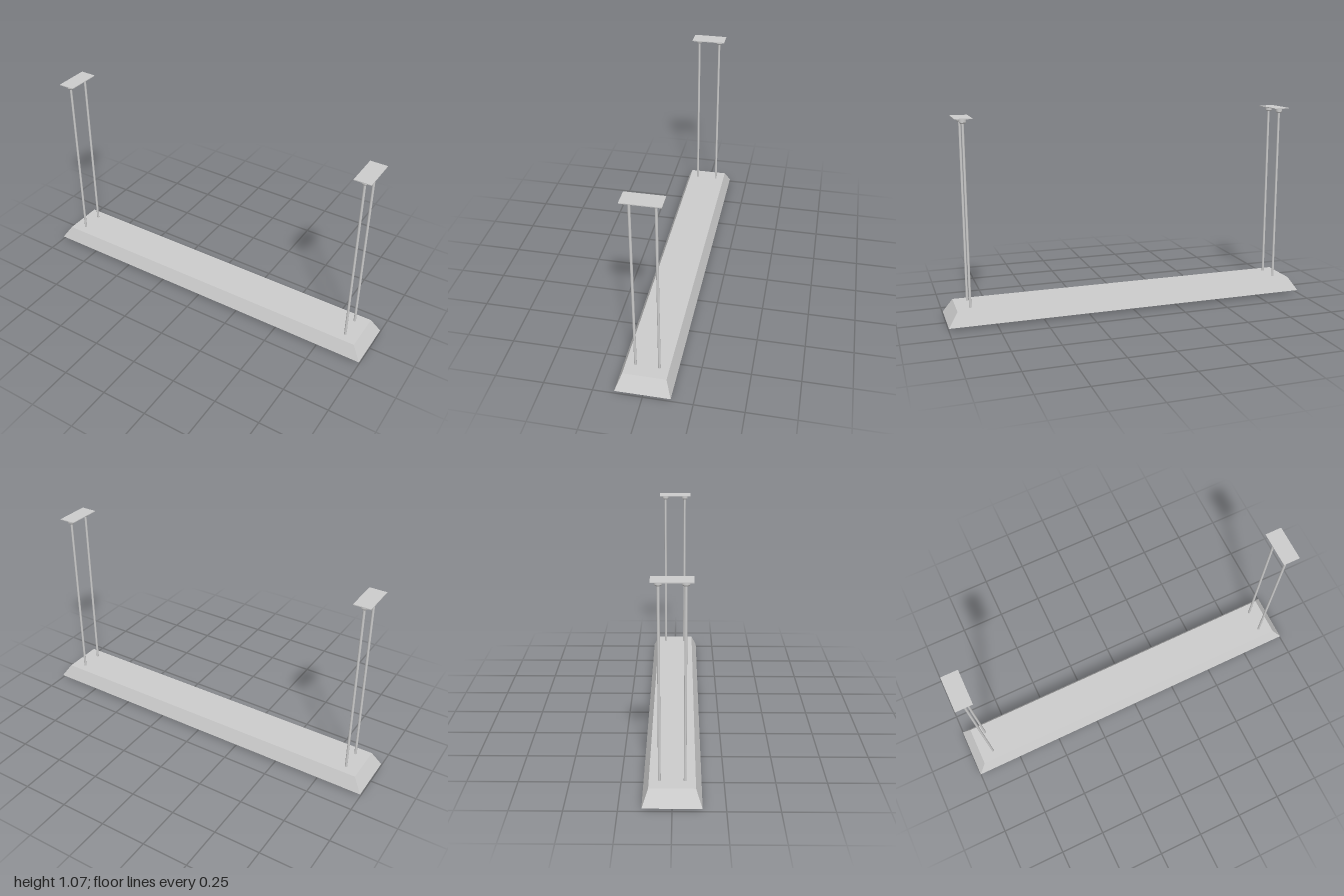
import * as THREE from 'three';

const grey = new THREE.MeshStandardMaterial({ color: 0xcccccc });
const sheet = new THREE.MeshStandardMaterial({ color: 0xcccccc, side: THREE.DoubleSide });

function add(parent, name, geometry, x, y, z, material = grey) {
  const mesh = new THREE.Mesh(geometry, material);
  mesh.name = name;
  mesh.position.set(x, y, z);
  parent.add(mesh);
  return mesh;
}

// Sheet-metal reflector: a box tapered toward the top, with its bottom face removed
function housingGeometry() {
  const box = new THREE.BoxGeometry(2, 0.075, 0.28);
  const p = box.attributes.position;
  for (let i = 0; i < p.count; i++) {
    if (p.getY(i) > 0) {
      p.setX(i, Math.sign(p.getX(i)) * 0.95);
      p.setZ(i, Math.sign(p.getZ(i)) * 0.11);
    }
  }
  const index = Array.from(box.index.array);
  index.splice(18, 6);
  box.setIndex(index);
  box.clearGroups();
  box.computeVertexNormals();
  return box;
}

// Lamp holder: block hanging from the reflector, with a chamfered lower end
function holderGeometry() {
  const shape = new THREE.Shape([
    [-0.017, 0], [0.017, 0], [0.034, 0.03], [0.034, 0.089], [-0.034, 0.089], [-0.034, 0.03],
  ].map(([x, y]) => new THREE.Vector2(x, y)));
  const geometry = new THREE.ExtrudeGeometry(shape, { depth: 0.04, bevelEnabled: false });
  geometry.translate(0, 0, -0.02);
  geometry.rotateY(Math.PI / 2);
  return geometry;
}

export function createModel() {
  const model = new THREE.Group();
  model.name = 'hangingLamp';

  add(model, 'reflectorHousing', housingGeometry(), 0, 0.0525, 0, sheet);

  // Two fluorescent tubes with a holder at each end
  const tube = new THREE.CylinderGeometry(0.025, 0.025, 1.83, 24);
  tube.rotateZ(Math.PI / 2);
  const holder = holderGeometry();
  for (const z of [-0.05, 0.05]) {
    add(model, 'lampTube', tube, 0, 0.042, z);
    for (const x of [-0.93, 0.93]) add(model, 'lampHolder', holder, x, 0, z);
  }

  // Suspension at each end: ceiling plate, two cups and two rods
  const plate = new THREE.BoxGeometry(0.09, 0.004, 0.19);
  const rod = new THREE.CylinderGeometry(0.0065, 0.0065, 0.96, 16);
  const cupBody = new THREE.CylinderGeometry(0.018, 0.018, 0.018, 24);
  const cupTip = new THREE.CylinderGeometry(0.018, 0.014, 0.006, 24);
  for (const x of [-0.878, 0.878]) {
    const hanger = new THREE.Group();
    hanger.name = 'hanger';
    hanger.position.x = x;
    model.add(hanger);
    add(hanger, 'ceilingPlate', plate, 0, 1.07, 0);
    for (const z of [-0.06, 0.06]) {
      add(hanger, 'rod', rod, 0, 0.57, z);
      add(hanger, 'cupBody', cupBody, 0, 1.059, z);
      add(hanger, 'cupTip', cupTip, 0, 1.047, z);
    }
  }
  return model;
}
